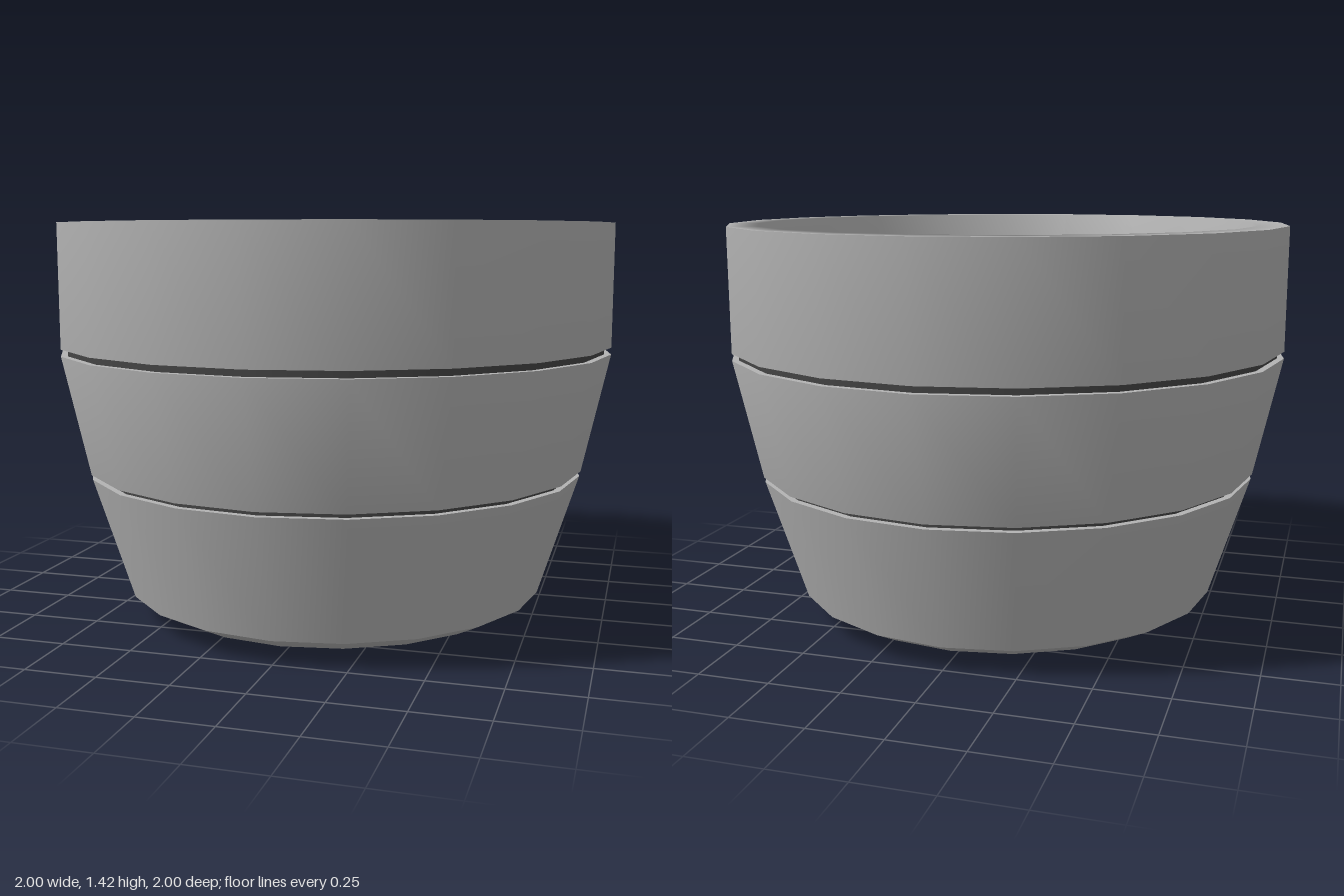
import * as THREE from 'three';

const SIDES = 20;

function lathe(name, profile, material) {
  const points = profile.map(([r, y]) => new THREE.Vector2(r, y));
  const mesh = new THREE.Mesh(new THREE.LatheGeometry(points, SIDES), material);
  mesh.name = name;
  return mesh;
}

// One tier of the outer wall; the tilts (downward lean of the normals at its
// bottom and top edge) let neighbouring tiers shade as one smooth wall.
function wallTier(name, profile, tilts, material) {
  const mesh = lathe(name, profile, material);
  const normal = mesh.geometry.attributes.normal;
  for (let i = 0; i < normal.count; i++) {
    const around = (Math.floor(i / 2) / SIDES) * Math.PI * 2;
    const tilt = THREE.MathUtils.degToRad(tilts[i % 2]);
    normal.setXYZ(i, Math.sin(around) * Math.cos(tilt), -Math.sin(tilt), Math.cos(around) * Math.cos(tilt));
  }
  return mesh;
}

// Recessed dark stripe between two tiers, with a plain ledge below and above
function groove(name, bottom, top, clay, stripe) {
  const depth = 0.024;
  const lowIn = [bottom[0] - depth, bottom[1]];
  const highIn = [bottom[0] - depth, top[1]];
  const group = new THREE.Group();
  group.name = name;
  group.add(
    lathe('grooveLedge', [bottom, lowIn], clay),
    lathe('stripe', [lowIn, highIn], stripe),
    lathe('grooveOverhang', [highIn, top], clay),
  );
  return group;
}

export function createModel() {
  const cup = new THREE.Group();
  cup.name = 'cup';
  const clay = new THREE.MeshStandardMaterial({ color: 0xb3b3b3 });
  clay.name = 'light grey clay';
  const stripe = new THREE.MeshStandardMaterial({ color: 0x444444 });
  stripe.name = 'dark grey stripe';

  // Edges of the tiers, as [radius, height]
  const foot = [0.765, 0.09];
  const lowerGap = [[0.904, 0.529], [0.908, 0.546]];
  const upperGap = [[1, 0.966], [1, 0.99]];
  const lip = [1, 1.42];

  cup.add(
    lathe('underside', [[0, 0.004], [0.34, 0.008], [0.67, 0.04], foot], clay),
    wallTier('lowerWall', [foot, lowerGap[0]], [17.6, 15], clay),
    groove('lowerGroove', ...lowerGap, clay, stripe),
    wallTier('middleWall', [lowerGap[1], upperGap[0]], [15, 6], clay),
    groove('upperGroove', ...upperGap, clay, stripe),
    wallTier('upperWall', [upperGap[1], lip], [6, 0], clay),
    // Rim and hollow share smooth normals
    lathe('rimAndInside', [
      lip, [0.895, 1.42], [0.885, 0.98], [0.8, 0.55], [0.69, 0.16], [0, 0.1],
    ], clay),
  );
  return cup;
}
